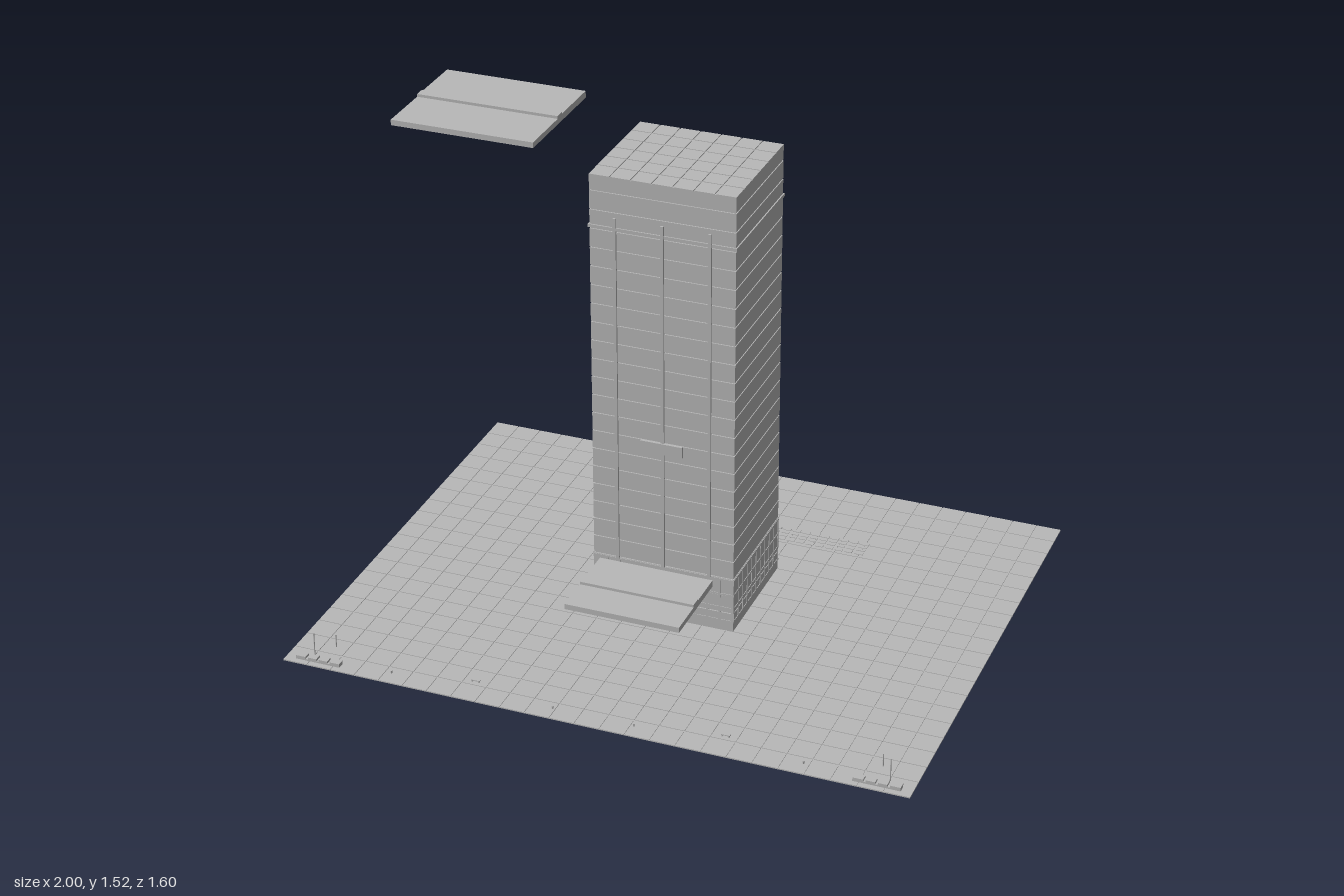
import * as THREE from 'three';
import { mergeGeometries } from 'three/addons/utils/BufferGeometryUtils.js';

const concrete = new THREE.MeshStandardMaterial({ color: 0xb8b8b8 });
concrete.name = 'concrete grey';

// Box given by its minimum and maximum on each axis.
function box(x0, x1, y0, y1, z0, z1) {
  return new THREE.BoxGeometry(x1 - x0, y1 - y0, z1 - z0)
    .translate((x0 + x1) / 2, (y0 + y1) / 2, (z0 + z1) / 2);
}

function part(parent, name, ...geometries) {
  const mesh = new THREE.Mesh(mergeGeometries(geometries), concrete);
  mesh.name = name;
  parent.add(mesh);
  return mesh;
}

// Flat grid of tiles with narrow joints.
function tiles(x0, x1, z0, z1, y0, y1, columns, rows, gap) {
  const list = [];
  const w = (x1 - x0) / columns, d = (z1 - z0) / rows, g = gap / 2;
  for (let i = 0; i < columns; i++) {
    for (let j = 0; j < rows; j++) {
      const x = x0 + i * w, z = z0 + j * d;
      list.push(box(x + (i ? g : 0), x + w - (i < columns - 1 ? g : 0), y0, y1,
        z + (j ? g : 0), z + d - (j < rows - 1 ? g : 0)));
    }
  }
  return list;
}

// Flat roof: two leaves with a raised strip between them.
function roofSlab(parent, name, x0, x1, z0, z1, ridge0, ridge1, y) {
  part(parent, name,
    box(x0, x1, y, y + 0.022, z0, ridge0),
    box(x0, x1, y, y + 0.018, ridge1, z1),
    box(x0, x1, y, y + 0.027, ridge0, ridge1));
}

export function createModel() {
  const model = new THREE.Group();
  model.name = 'officeTower';

  // Paved plaza
  part(model, 'plazaBase', box(-1, 1, 0, 0.002, -0.8, 0.8));
  part(model, 'plazaPaving', ...tiles(-1, 1, -0.8, 0.8, 0.002, 0.004, 25, 20, 0.003));
  part(model, 'rearGrating',
    ...tiles(-0.465, 0.45, -0.49, -0.415, 0.004, 0.006, 28, 4, 0.008));

  // Tower: recessed core with stacked storeys
  const L = -0.23, R = 0.23, B = -0.222, F = 0.18;
  const tower = new THREE.Group();
  tower.name = 'tower';
  model.add(tower);
  part(tower, 'core', box(L + 0.004, R - 0.004, 0.02, 1.485, B + 0.004, F - 0.004));

  const pitch = 0.0617, gap = 0.004, floors = [];
  for (let i = 0; i < 24; i++) {
    const y0 = i ? 0.022 + i * pitch : 0.018;
    const y1 = i < 23 ? 0.022 + (i + 1) * pitch - gap : 1.487;
    floors.push(box(L, R, y0, y1, B, F));
  }
  part(tower, 'storeys', ...floors);
  part(tower, 'roofPaving', ...tiles(L, R, B, F, 1.487, 1.49, 7, 6, 0.004));
  part(tower, 'crownLedge', box(L - 0.004, R + 0.004, 1.319, 1.329, B - 0.004, F + 0.004));

  // Window frames round the lower storeys
  const frames = [];
  const bar = 0.006, proud = 0.002;
  for (let i = 0; i <= 11; i++) {
    const x = L + 0.003 + i * (R - L - 0.006) / 11;
    for (const z of [B, F]) {
      frames.push(box(x - bar / 2, x + bar / 2, 0.05, 0.2, z - proud, z + proud));
    }
  }
  for (let i = 0; i <= 10; i++) {
    const z = B + 0.003 + i * (F - B - 0.006) / 10;
    for (const x of [L, R]) {
      frames.push(box(x - proud, x + proud, 0.05, 0.2, z - bar / 2, z + bar / 2));
    }
  }
  for (const y of [0.052, 0.098, 0.146, 0.198]) {
    frames.push(box(L - proud, R + proud, y - bar / 2, y + bar / 2, B - proud, F + proud));
  }
  part(tower, 'lowerWindowFrames', ...frames);

  // Tall fins and the blank panel on the front
  part(tower, 'frontFins', ...[-0.15, 0, 0.15].map(
    (x) => box(x - 0.005, x + 0.005, 0.2, 1.36, F - 0.001, F + 0.006)));
  part(tower, 'frontPanel', box(-0.07, 0.065, 0.6, 0.637, F + 0.001, F + 0.01));

  // Entrance canopy and the detached upper slab
  roofSlab(model, 'entranceCanopy', -0.187, 0.183, 0.237, 0.518, 0.36, 0.397, 0.203);
  roofSlab(model, 'upperSlab', -0.912, -0.447, -0.318, 0.086, -0.133, -0.1, 1.496);

  // Plaza furniture, mirrored left and right
  for (const s of [-1, 1]) {
    const side = new THREE.Group();
    side.name = s > 0 ? 'leftFurniture' : 'rightFurniture';
    model.add(side);
    const cx = 0.893 * s;
    const planter = tiles(cx - 0.073, cx + 0.073, 0.758, 0.782, 0.004, 0.016, 4, 1, 0.008);
    part(side, 'planters', ...planter, box(cx - 0.073, cx + 0.073, 0.004, 0.009, 0.758, 0.782));
    const pole = (x, z, h, r) =>
      new THREE.CylinderGeometry(r, r, h, 8).translate(x * s, h / 2 + 0.003, z);
    part(side, 'poles', pole(0.922, 0.742, 0.077, 0.0018), pole(0.88, 0.68, 0.045, 0.0018));
    part(side, 'bollards', pole(0.66, 0.75, 0.01, 0.003), pole(0.13, 0.75, 0.01, 0.003));
    const bx = 0.402 * s;
    part(side, 'bench',
      box(bx - 0.014, bx + 0.014, 0.009, 0.012, 0.697, 0.707),
      box(bx - 0.012, bx - 0.009, 0.004, 0.009, 0.698, 0.706),
      box(bx + 0.009, bx + 0.012, 0.004, 0.009, 0.698, 0.706));
  }

  return model;
}
